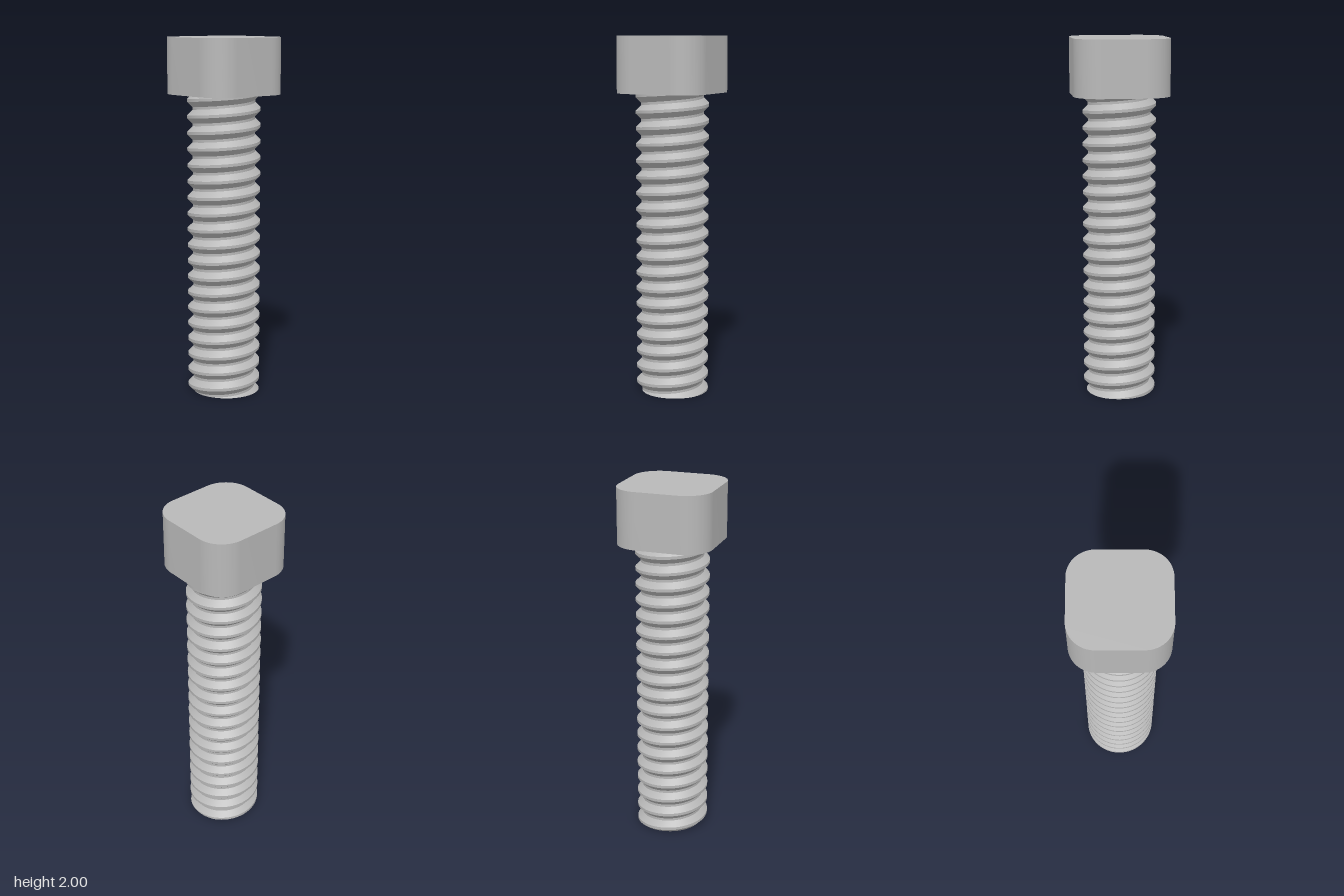
import * as THREE from 'three';
import { toCreasedNormals } from 'three/addons/utils/BufferGeometryUtils.js';

const HEAD_BOTTOM = 1.69, HEAD_HALF = 0.263, HEAD_CORNER = 0.145;
const PITCH = 0.09, CREST_R = 0.203, ROOT_R = 0.173;
const CREST_HALF = 0.008, ROOT_HALF = 0.007, PHASE = 0.067;
const SEGMENTS = 72;

// Height of the thread crest line at an angle, on turn 0
const crestY = (theta) => PHASE + PITCH * theta / (2 * Math.PI);

// Thread radius: flat crest, straight flanks, flat root
function threadRadius(theta, y) {
  const turns = (y - crestY(theta)) / PITCH;
  const d = Math.abs(turns - Math.round(turns)) * PITCH;
  const t = (d - CREST_HALF) / (PITCH / 2 - ROOT_HALF - CREST_HALF);
  return THREE.MathUtils.lerp(CREST_R, ROOT_R, THREE.MathUtils.clamp(t, 0, 1));
}

// Right-handed thread, cut flat at both ends, with a cap underneath
function threadGeometry() {
  const steps = [-PITCH / 2 + ROOT_HALF, -CREST_HALF, CREST_HALF, PITCH / 2 - ROOT_HALF];
  const columns = [];
  for (let i = 0; i <= SEGMENTS; i++) {
    const theta = i / SEGMENTS * Math.PI * 2, column = [];
    for (let turn = -3; turn <= 20; turn++) {
      for (const step of steps) {
        const y = THREE.MathUtils.clamp(crestY(theta) + turn * PITCH + step, 0, HEAD_BOTTOM);
        const r = threadRadius(theta, y);
        column.push(new THREE.Vector3(r * Math.cos(theta), y, -r * Math.sin(theta)));
      }
    }
    columns.push(column);
  }
  const points = [];
  const addTriangle = (a, b, c) => {
    const area = b.clone().sub(a).cross(c.clone().sub(a)).length();
    if (area > 1e-9) points.push(a, b, c);
  };
  const centre = new THREE.Vector3();
  for (let i = 0; i < SEGMENTS; i++) {
    const p = columns[i], q = columns[i + 1];
    for (let j = 0; j < p.length - 1; j++) {
      addTriangle(p[j], q[j], q[j + 1]);
      addTriangle(p[j], q[j + 1], p[j + 1]);
    }
    addTriangle(centre, q[0], p[0]);
  }
  return toCreasedNormals(new THREE.BufferGeometry().setFromPoints(points), 0.5);
}

// Square head with large rounded corners
function headGeometry() {
  const shape = new THREE.Shape(), c = HEAD_HALF - HEAD_CORNER;
  [[c, c], [-c, c], [-c, -c], [c, -c]].forEach(([x, y], i) =>
    shape.absarc(x, y, HEAD_CORNER, i * Math.PI / 2, (i + 1) * Math.PI / 2, false));
  const geometry = new THREE.ExtrudeGeometry(shape, {
    depth: 2 - HEAD_BOTTOM, bevelEnabled: false, curveSegments: 16,
  });
  geometry.rotateX(-Math.PI / 2).translate(0, HEAD_BOTTOM, 0);
  return toCreasedNormals(geometry, 0.5);
}

export function createModel() {
  const steel = new THREE.MeshStandardMaterial({ color: 0xb8b8b8 });
  steel.name = 'steel';
  const group = new THREE.Group();
  group.name = 'bolt';
  const head = new THREE.Mesh(headGeometry(), steel);
  head.name = 'head';
  const shaft = new THREE.Mesh(threadGeometry(), steel);
  shaft.name = 'threadedShaft';
  group.add(head, shaft);
  return group;
}
